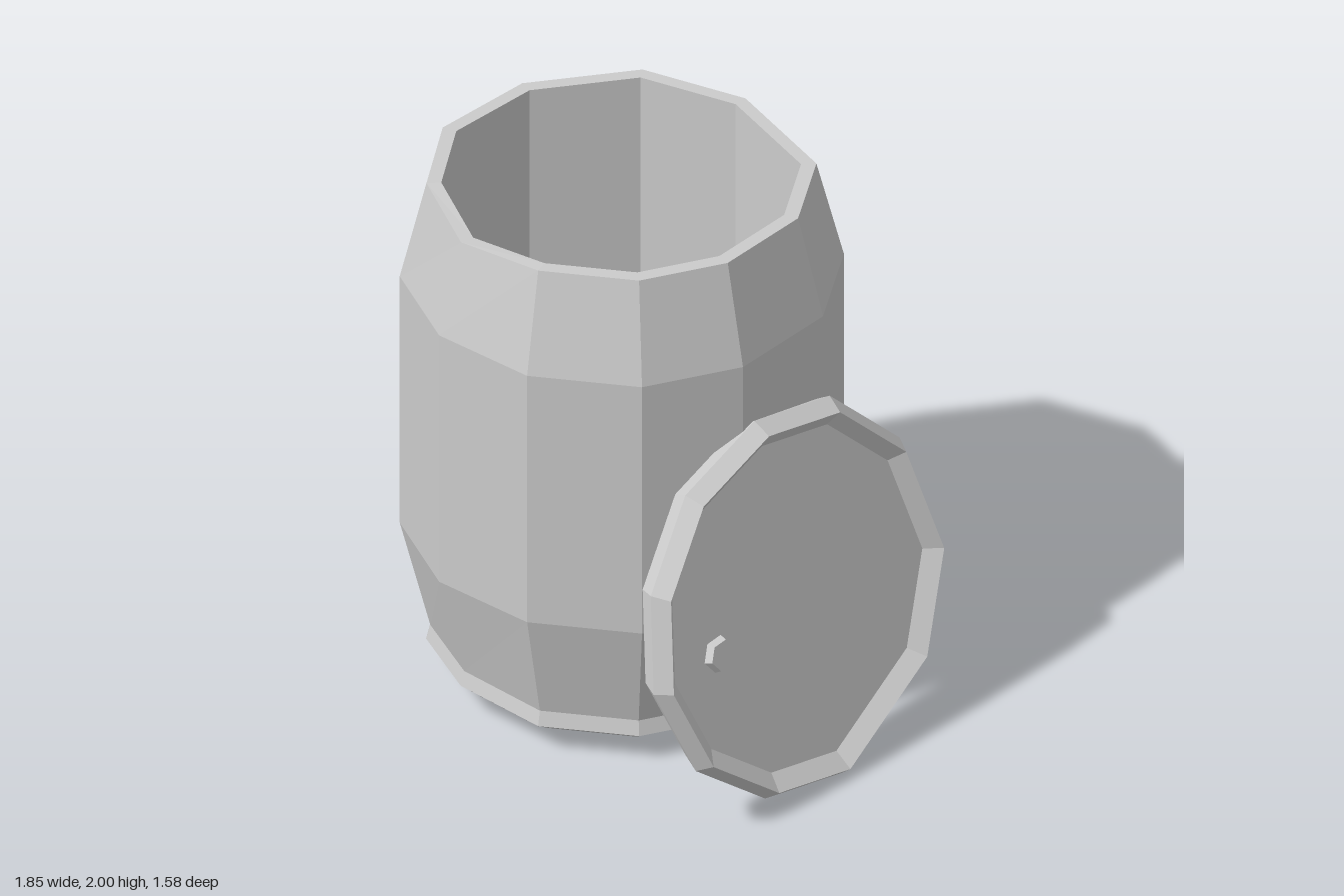
import * as THREE from 'three';

const material = new THREE.MeshStandardMaterial({ color: 0xcccccc, flatShading: true });

// Rough-hewn eleven-sided outlines: barrel as [x, z], lid as [z, y]
const barrelOutline = [[-0.12, -0.79], [0.385, -0.6], [0.57, -0.25], [0.55, 0.17], [0.355, 0.485],
  [0, 0.675], [-0.395, 0.665], [-0.73, 0.46], [-0.925, 0.11], [-0.875, -0.33], [-0.565, -0.7]];
const lidOutline = [[0.12, 1.375], [-0.23, 1.32], [-0.5, 1.045], [-0.59, 0.62], [-0.415, 0.26],
  [0.04, 0.005], [0.39, 0.06], [0.67, 0.285], [0.79, 0.625], [0.72, 0.97], [0.485, 1.25]];

// Skin through scaled copies of an outline. Each ring is [scale, offset, warp];
// scale 0 closes an end. place(u, v, ring, index) gives the final [x, y, z].
function loft(outline, [cu, cv], rings, place) {
  const n = outline.length;
  const point = (ring, i) => {
    const [u, v] = outline[i % n];
    return place(cu + (u - cu) * ring[0], cv + (v - cv) * ring[0], ring, i % n);
  };
  const positions = [];
  for (let k = 0; k < rings.length - 1; k++) {
    const [lower, upper] = [rings[k], rings[k + 1]];
    for (let i = 0; i < n; i++) {
      const a = point(lower, i), b = point(lower, i + 1);
      const c = point(upper, i), d = point(upper, i + 1);
      if (lower[0] > 0) positions.push(...b, ...a, ...c);
      if (upper[0] > 0) positions.push(...b, ...c, ...d);
    }
  }
  const geometry = new THREE.BufferGeometry();
  geometry.setAttribute('position', new THREE.Float32BufferAttribute(positions, 3));
  geometry.computeVertexNormals();
  return geometry;
}

function part(name, geometry) {
  const mesh = new THREE.Mesh(geometry, material);
  mesh.name = name;
  return mesh;
}

// Plane of the leaning lid
const lidX = (z, y) => 0.882 - 0.223 * y - 0.12 * z;

export function createModel() {
  const model = new THREE.Group();
  model.name = 'openBarrel';

  // Bulging barrel: underside, foot band, staves, rim, then the hollow inside.
  // The third value shifts the one worn stave at the front.
  const wornStave = 6;
  const barrelRings = [
    [0, 0.05, 0], [0.755, 0.05, 0], [0.88, 0.115, 0.02], [0.86, 0.17, 0.02],
    [1, 0.6, 0], [1, 1.62, 0], [0.878, 2, -0.03],
    [0.81, 2, -0.03], [0.81, 0.2, 0], [0, 0.2, 0],
  ];
  model.add(part('barrel', loft(barrelOutline, [-0.18, -0.06], barrelRings,
    (x, z, [, y, warp], i) => [x, y + (i === wornStave ? warp : 0), z])));

  // Lid leaning on the barrel's side, bevelled, with a sunken face
  const lid = new THREE.Group();
  lid.name = 'lid';
  const lidRings = [[0, -0.07], [0.945, -0.07], [1, 0], [0.945, 0.055], [0.865, 0.01], [0, 0.01]];
  lid.add(part('lidDisc', loft(lidOutline, [0.1, 0.69], lidRings,
    (z, y, [, offset]) => [lidX(z, y) + offset, y, z])));

  // Small six-sided plug on the lid
  const plug = part('lidPlug', new THREE.CylinderGeometry(0.056, 0.072, 0.04, 6));
  const normal = new THREE.Vector3(1, 0.223, 0.12).normalize();
  plug.quaternion.setFromUnitVectors(new THREE.Vector3(0, 1, 0), normal);
  plug.position.set(lidX(0.485, 0.655) + 0.018, 0.655, 0.485);
  lid.add(plug);
  model.add(lid);

  return model;
}
